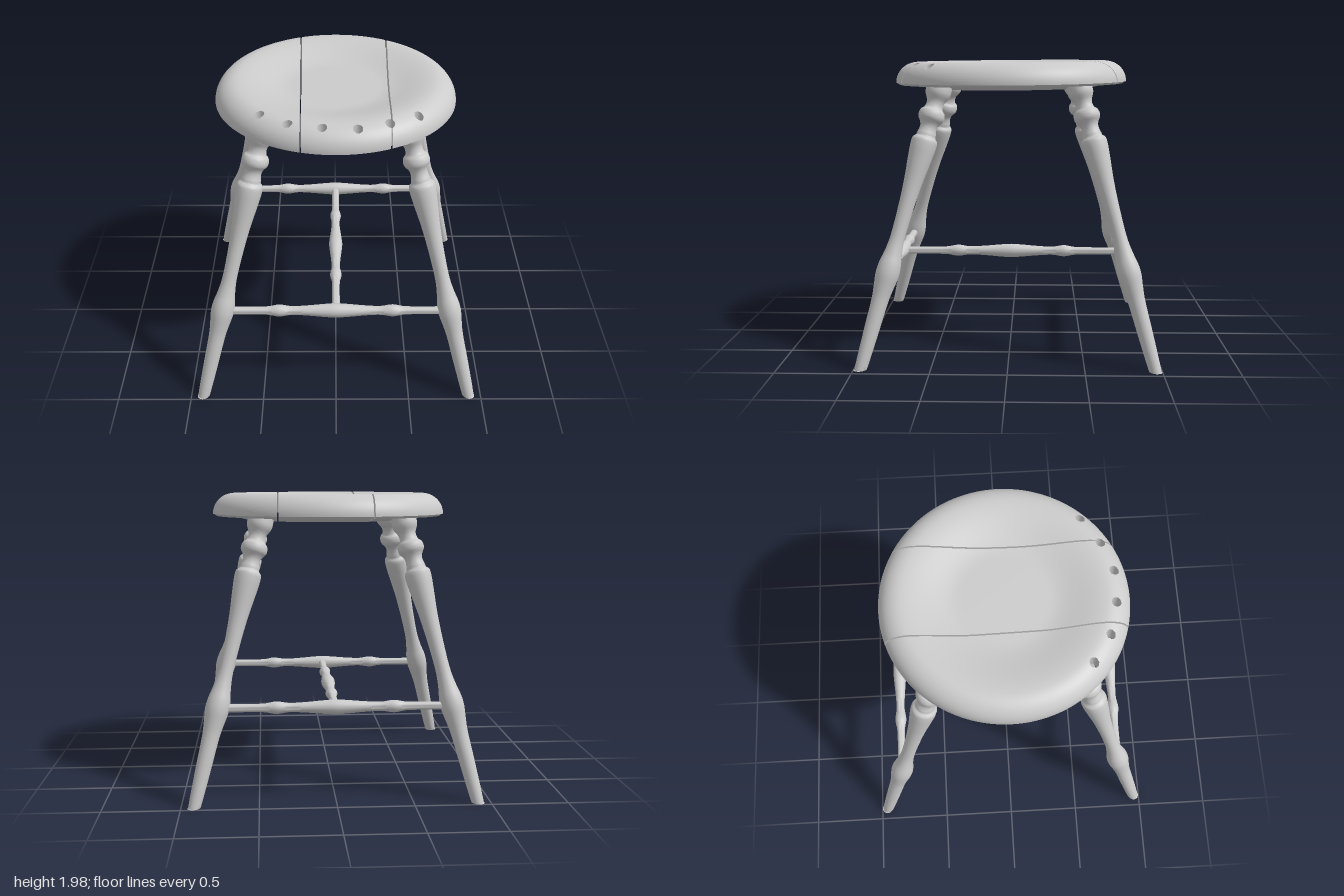
import * as THREE from 'three';
import { toCreasedNormals } from 'three/addons/utils/BufferGeometryUtils.js';

const mat = new THREE.MeshStandardMaterial({ color: 0xcccccc });
const matOpen = new THREE.MeshStandardMaterial({ color: 0xcccccc, side: THREE.DoubleSide });

const R = 0.81; // seat radius
const HOLE_R = 0.032;
const HOLES = [[-0.48, 0.53], [-0.3, 0.65], [-0.085, 0.705], [0.135, 0.71], [0.335, 0.64], [0.52, 0.525]];

// Height of the dished, round-edged seat top
function topY(x, z) {
  const r = Math.min(Math.hypot(x, z), R);
  const dish = 1.908 + 0.067 * THREE.MathUtils.smoothstep(r, 0.3, 0.66);
  const u = Math.max(0, (r - 0.66) / (R - 0.66));
  const rim = 0.143 * (1 - Math.sqrt(Math.max(0, 1 - u * u)));
  return dish - rim - 0.008 * z;
}

// Height of the underside, a low plateau inside a thin lip
function bottomY(x, z) {
  const r = Math.min(Math.hypot(x, z), R);
  return 1.79 + 0.027 * THREE.MathUtils.smoothstep(r, 0.55, 0.7)
    + 0.015 * THREE.MathUtils.smoothstep(r, 0.78, R) - 0.008 * z;
}

// One seat board between two nearly parallel cuts at offsets d0 and d1
function plank(name, d0, d1, slope0, slope1) {
  const NI = 44, NJ = 96, pos = [];
  const a0 = Math.asin(d0 / R), a1 = Math.asin(d1 / R);
  const grid = [];
  for (let i = 0; i <= NI; i++) {
    const f = i / NI, row = [];
    const d = R * Math.sin(a0 + (a1 - a0) * f);
    const th = Math.atan(slope0 + (slope1 - slope0) * f);
    const half = Math.sqrt(Math.max(0, R * R - d * d));
    for (let j = 0; j <= NJ; j++) {
      const s = half * Math.sin((j / NJ - 0.5) * Math.PI);
      let x = d * Math.cos(th) + s * Math.sin(th);
      let z = s * Math.cos(th) - d * Math.sin(th);
      // points inside a hole move out to its edge
      let hole = false;
      for (const [hx, hz] of HOLES) {
        const q = Math.hypot(x - hx, z - hz);
        if (q < HOLE_R) {
          hole = true;
          x = hx + (x - hx) * HOLE_R / (q || 1);
          z = hz + (z - hz) * HOLE_R / (q || 1);
        }
      }
      row.push({ hole, top: [x, topY(x, z), z], bot: [x, bottomY(x, z), z] });
    }
    grid.push(row);
  }
  const tri = (side, a, b, c) => {
    if (!(a.hole && b.hole && c.hole)) pos.push(...a[side], ...b[side], ...c[side]);
  };
  for (let i = 0; i < NI; i++) for (let j = 0; j < NJ; j++) {
    const a = grid[i][j], b = grid[i][j + 1], c = grid[i + 1][j], e = grid[i + 1][j + 1];
    tri('top', a, b, c); tri('top', c, b, e);
    tri('bot', a, c, b); tri('bot', c, e, b);
  }
  // sawn faces along both cuts
  for (let j = 0; j < NJ; j++) for (const i of [0, NI]) {
    let a = grid[i][j], b = grid[i][j + 1];
    if (a.hole && b.hole) continue;
    if (i === 0) [a, b] = [b, a];
    pos.push(...a.bot, ...a.top, ...b.top, ...a.bot, ...b.top, ...b.bot);
  }
  const geo = new THREE.BufferGeometry();
  geo.setAttribute('position', new THREE.Float32BufferAttribute(pos, 3));
  const mesh = new THREE.Mesh(toCreasedNormals(geo, 0.7), mat);
  mesh.name = name;
  return mesh;
}

// Lining of a drilled hole, trimmed to the seat surfaces
function holeWall([hx, hz]) {
  const geo = new THREE.CylinderGeometry(HOLE_R, HOLE_R, 1, 24, 1, true).translate(hx, 0, hz);
  const p = geo.attributes.position;
  for (let i = 0; i < p.count; i++) {
    const f = p.getY(i) > 0 ? topY : bottomY;
    p.setY(i, f(p.getX(i), p.getZ(i)));
  }
  const mesh = new THREE.Mesh(geo, matOpen);
  mesh.name = 'spindleHole';
  return mesh;
}

// Smooth turned profile through [radius, height] points
function turned(points, samples, sides) {
  const curve = new THREE.CatmullRomCurve3(points.map(([r, y]) => new THREE.Vector3(r, y, 0)), false, 'centripetal');
  const pts = curve.getPoints(samples).map(v => new THREE.Vector2(Math.max(v.x, 0.001), v.y));
  pts.unshift(new THREE.Vector2(0, pts[0].y));
  pts.push(new THREE.Vector2(0, pts[pts.length - 1].y));
  return new THREE.LatheGeometry(pts, sides);
}

// Splayed leg with vase, bulb and collar turnings
const LEG = [
  [0.037, -0.03], [0.042, 0.05], [0.05, 0.25], [0.057, 0.45], [0.066, 0.52], [0.077, 0.6], [0.074, 0.66],
  [0.06, 0.73], [0.049, 0.82], [0.05, 0.98], [0.061, 1.18], [0.08, 1.35], [0.087, 1.43], [0.084, 1.465],
  [0.066, 1.485], [0.064, 1.5], [0.057, 1.53], [0.058, 1.555], [0.067, 1.575], [0.085, 1.6], [0.088, 1.625],
  [0.08, 1.65], [0.064, 1.665], [0.057, 1.69], [0.06, 1.715], [0.079, 1.75], [0.085, 1.77], [0.084, 1.83],
];
function leg(name, sx, sz) {
  const foot = new THREE.Vector3(0.915 * sx, 0, 0.955 * sz);
  const dir = new THREE.Vector3(-0.244 * sx, 1, -0.272 * sz);
  const len = dir.length();
  const geo = turned(LEG.map(([r, h]) => [r, h * len]), 108, 28);
  geo.applyQuaternion(new THREE.Quaternion().setFromUnitVectors(new THREE.Vector3(0, 1, 0), dir.normalize()));
  geo.translate(foot.x, foot.y, foot.z);
  // foot cut level with the floor
  const p = geo.attributes.position;
  for (let i = 0; i < p.count; i++) p.setY(i, Math.max(0, p.getY(i)));
  const mesh = new THREE.Mesh(toCreasedNormals(geo, 0.6), mat);
  mesh.name = name;
  return mesh;
}

// Stretcher with a central swelling and two beads
function stretcher(name, half) {
  const side = [[0.027, half], [0.027, 0.5], [0.03, 0.45], [0.041, 0.385], [0.03, 0.3], [0.034, 0.2], [0.044, 0.08]];
  const pts = [...side.map(([r, y]) => [r, -y]), [0.049, 0], ...side.slice().reverse()];
  const mesh = new THREE.Mesh(toCreasedNormals(turned(pts, 70, 20), 0.7), mat);
  mesh.name = name;
  return mesh;
}

export function createModel() {
  const model = new THREE.Group();
  model.name = 'stool';

  const seat = new THREE.Group();
  seat.name = 'seat';
  const gap = 0.005;
  seat.add(
    plank('seatBoardRight', -R, -0.236 - gap, 0.02, 0.02),
    plank('seatBoardMiddle', -0.236 + gap, 0.355 - gap, 0.02, -0.014),
    plank('seatBoardLeft', 0.355 + gap, R, -0.014, -0.014),
    ...HOLES.map(holeWall),
  );
  model.add(seat);

  for (const [zn, sz] of [['front', 1], ['back', -1]]) {
    for (const [xn, sx] of [['Left', 1], ['Right', -1]]) model.add(leg(zn + xn + 'Leg', sx, sz));
    const s = stretcher(zn + 'Stretcher', 0.75);
    s.rotation.z = Math.PI / 2;
    s.position.set(0, 0.61, 0.79 * sz);
    model.add(s);
  }

  const middle = stretcher('middleStretcher', 0.78);
  middle.rotation.x = Math.PI / 2;
  middle.position.y = 0.61;
  model.add(middle);

  return model;
}
